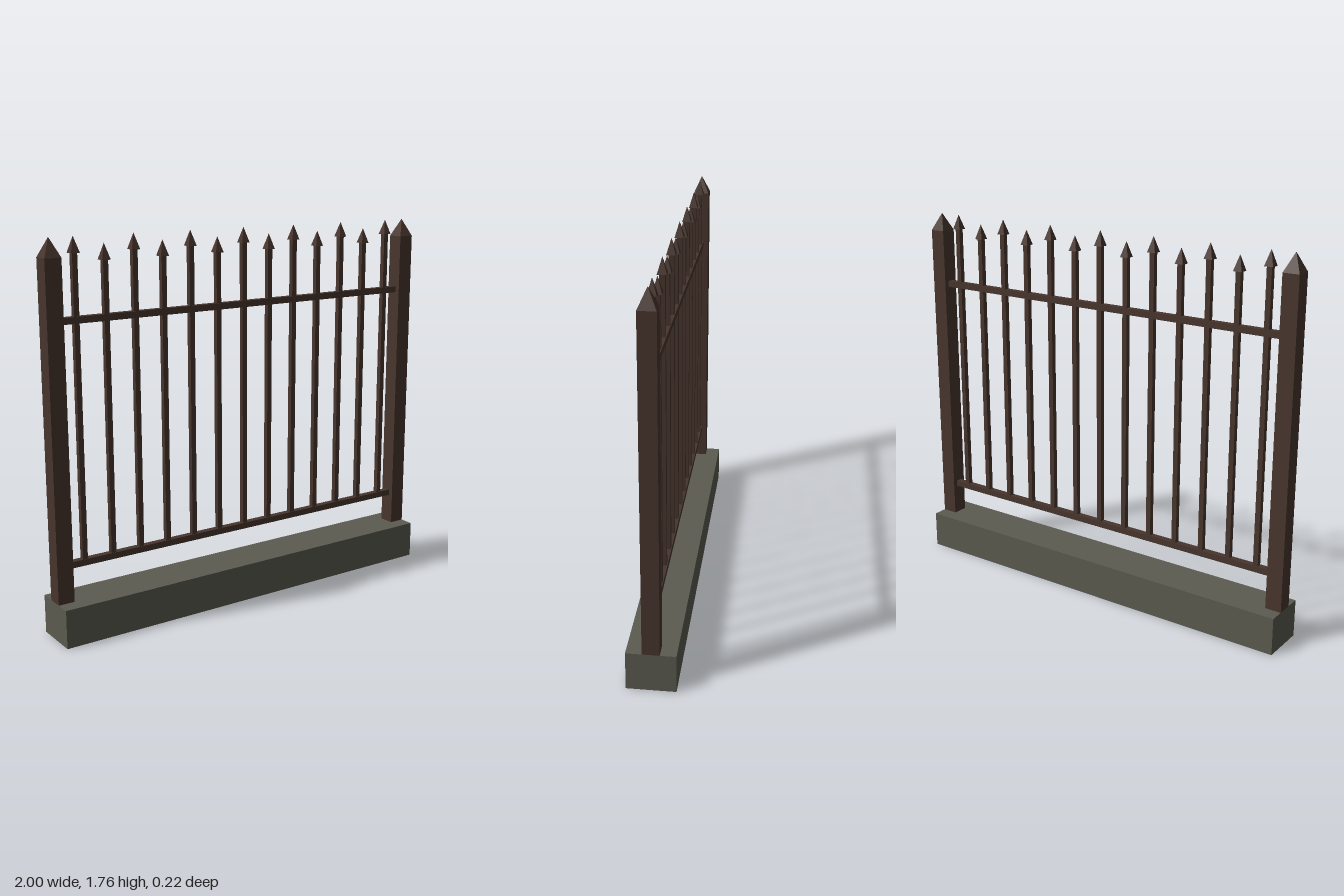
import * as THREE from 'three';

const iron = new THREE.MeshStandardMaterial({ name: 'dark brown iron', color: 0x48352d });
const stone = new THREE.MeshStandardMaterial({ name: 'grey stone', color: 0x5b5b50, side: THREE.DoubleSide });

export function createModel() {
  const fence = new THREE.Group();
  fence.name = 'fence';

  const add = (parent, name, geometry, material) => {
    const mesh = new THREE.Mesh(geometry, material);
    mesh.name = name;
    parent.add(mesh);
    return mesh;
  };
  // Box standing between two heights
  const block = (w, d, y0, y1) => new THREE.BoxGeometry(w, y1 - y0, d).translate(0, (y0 + y1) / 2, 0);
  // Four-sided point aligned with the axes
  const point = (w, y0, y1) => new THREE.ConeGeometry(w / Math.SQRT2, y1 - y0, 4, 1)
    .toNonIndexed().rotateY(Math.PI / 4).translate(0, (y0 + y1) / 2, 0);
  const flat = (geometry) => { geometry.computeVertexNormals(); return geometry; };

  // Stone base, hollow and open underneath
  const baseGeometry = block(2, 0.216, 0, 0.177);
  const index = Array.from(baseGeometry.index.array);
  index.splice(18, 6); // drop the bottom face
  baseGeometry.setIndex(index);
  baseGeometry.clearGroups();
  add(fence, 'base', baseGeometry, stone);

  // End posts with pyramid caps
  for (const side of [-1, 1]) {
    const post = new THREE.Group();
    post.name = side > 0 ? 'leftPost' : 'rightPost';
    post.position.x = side * 0.962;
    add(post, 'postShaft', block(0.076, 0.076, 0.177, 1.675), iron);
    add(post, 'postCap', flat(point(0.076, 1.675, 1.758)), iron);
    fence.add(post);
  }

  // Horizontal rails
  add(fence, 'lowerRail', block(1.85, 0.031, 0.323, 0.352), iron);
  add(fence, 'upperRail', block(1.85, 0.031, 1.395, 1.424), iron);

  // Pickets, alternating tall and short
  for (let i = -6; i <= 6; i++) {
    const neck = i % 2 === 0 ? 1.688 : 1.652;
    const picket = new THREE.Group();
    picket.name = 'picket';
    picket.position.x = i * 0.142;
    add(picket, 'picketBar', block(0.024, 0.024, 0.335, neck), iron);
    add(picket, 'picketTip', flat(point(0.041, neck, neck + 0.07)), iron);
    fence.add(picket);
  }
  return fence;
}
